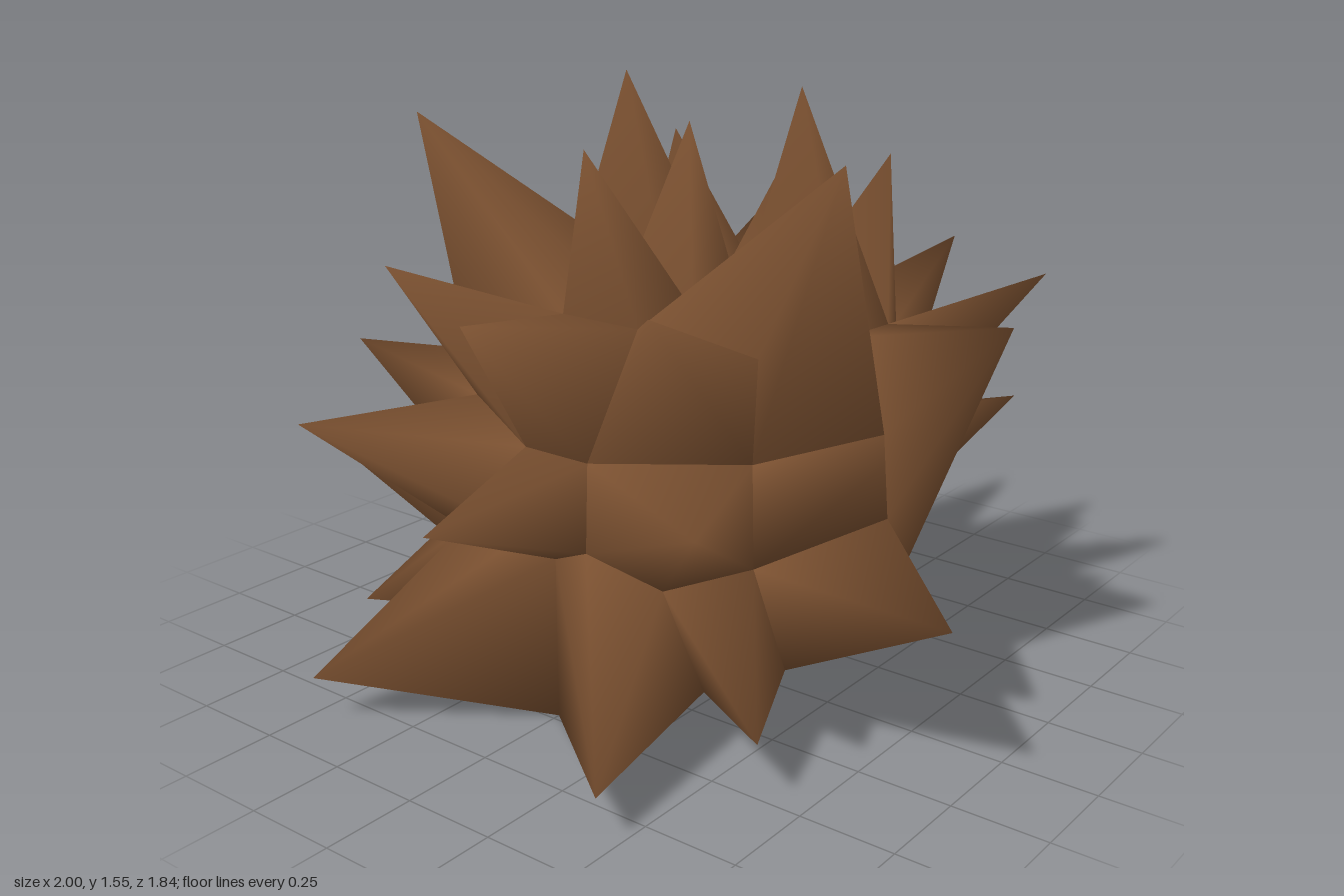
import * as THREE from 'three';

const brown = new THREE.MeshStandardMaterial({ color: 0x7a5030, side: THREE.DoubleSide });
brown.name = 'brown hair';

// Valleys between the locks, on the +x half; a leading '-' on a key mirrors the point
const valleys = {
  // centre line at the fringe
  c0: [0, 0, 0.48], c1: [0, 0.43, 0.48],
  // inner column, front over the crown to the nape
  a1: [0.1, 0.47, 0.48], a2: [0.1, 0.7, 0.47], a3: [0.12, 1, 0.3],
  a4: [0.12, 1, 0.08], a5: [0.12, 1, -0.12], a6: [0.12, 0.97, -0.37],
  a7: [0.11, 0.9, -0.56], a8: [0.1, 0.65, -0.69], a9: [0.1, 0.47, -0.66],
  // outer column, front over the crown to the nape
  b0: [0.4, 0.16, 0.4], b1: [0.33, 0.43, 0.47], b2: [0.45, 0.72, 0.28],
  b3: [0.42, 0.96, 0.22], b4: [0.46, 0.95, -0.1], b5: [0.42, 0.92, -0.37],
  b6: [0.35, 0.88, -0.53], b7: [0.34, 0.62, -0.6], b8: [0.34, 0.53, -0.55],
  // sides
  d0: [0.5, 0.17, 0.2], d1: [0.45, 0.45, 0.27], d2: [0.61, 0.51, -0.08],
  d3: [0.58, 0.72, -0.1], d4: [0.58, 0.2, -0.1],
  e1: [0.55, 0.33, -0.25], e2: [0.5, 0.45, -0.4], e3: [0.51, 0.69, -0.41],
};

function valley(key, mirror = 1) {
  const flip = key.startsWith('-') ? -1 : 1;
  const [x, y, z] = valleys[key.replace('-', '')];
  return new THREE.Vector3(x * flip * mirror, y, z);
}

function makeMesh(name, points, index) {
  const geo = new THREE.BufferGeometry().setFromPoints(points);
  geo.setIndex(index);
  geo.computeVertexNormals();
  const mesh = new THREE.Mesh(geo, brown);
  mesh.name = name;
  return mesh;
}

// Pyramid-shaped lock rising from a loop of valleys to its tip
function lock(name, tip, keys, mirror = 1) {
  const top = new THREE.Vector3(tip[0] * mirror, tip[1], tip[2]);
  const loop = keys.split(' ').map((k) => valley(k, mirror));
  const n = loop.length;
  const centre = new THREE.Vector3();
  const facing = new THREE.Vector3();
  loop.forEach((p, i) => {
    centre.addScaledVector(p, 1 / n);
    facing.add(p.clone().cross(loop[(i + 1) % n]));
  });
  if (facing.dot(top.clone().sub(centre)) < 0) loop.reverse();
  const index = [];
  for (let i = 0; i < n; i++) index.push(0, 1 + i, 1 + (i + 1) % n);
  return makeMesh(name, [top, ...loop], index);
}

// Hollow lining: loops from the rim over a narrow lip up to the crown
function lining() {
  const half = ['b0', 'd0', 'd4', 'e1', 'e2', 'b8', 'a9'];
  const keys = ['c0', ...half, ...half.map((k) => '-' + k).reverse()];
  const rim = keys.map((k) => valley(k));
  const n = rim.length;
  const rows = 9;
  const points = [];
  const index = [];
  for (let r = 0; r < rows; r++) {
    const t = Math.max(0, r - 1) / (rows - 2) * Math.PI / 2;
    const spread = (r === 0 ? 1 : 0.92) * Math.pow(Math.max(0, Math.cos(t)), 0.8);
    const rise = Math.sin(t);
    for (let i = 0; i < n; i++) {
      const p = rim[i];
      points.push(new THREE.Vector3(
        p.x * spread, p.y + (0.9 - p.y) * rise, -0.1 + (p.z + 0.1) * spread));
      if (r < rows - 1) {
        const a = r * n + i;
        const b = r * n + (i + 1) % n;
        index.push(a, a + n, b, b, a + n, b + n);
      }
    }
  }
  return makeMesh('hairLining', points, index);
}

export function createModel() {
  const group = new THREE.Group();
  group.name = 'spikyHair';
  group.add(lining());

  // Centre row, front to back
  const centreLocks = [
    ['foreheadLock', [0, 0.63, 0.92], 'a1 a2 -a2 -a1 c1'],
    ['upperFrontLock', [0, 1.09, 0.78], 'a2 a3 -a3 -a2'],
    ['frontCrownLock', [0, 1.43, 0.35], 'a3 a4 -a4 -a3'],
    ['middleCrownLock', [0, 1.45, -0.06], 'a4 a5 -a5 -a4'],
    ['crownPatch', [0, 1.03, -0.25], 'a5 a6 -a6 -a5'],
    ['backCrownLock', [0, 1.32, -0.52], 'a6 a7 -a7 -a6'],
    ['backLock', [0, 1.03, -0.92], 'a7 a8 a9 -a9 -a8 -a7'],
  ];
  for (const [name, tip, keys] of centreLocks) group.add(lock(name, tip, keys));

  // Mirrored pairs: crown, fringe, sides, back
  const pairedLocks = [
    ['CrownSideLock', [0.665, 1.45, 0.25], 'a3 a4 a5 b4 d3 b2 b3'],
    ['CrownTopLock', [0.28, 1.55, -0.15], 'a5 b4 b5 a6'],
    ['CrownRearLock', [0.355, 1.35, -0.46], 'a6 b5 b6 a7'],
    ['BrowLock', [0.41, 1.14, 0.62], 'a2 a3 b3 b2'],
    ['TempleLock', [0.63, 0.72, 0.74], 'a1 a2 b2 d1 b1'],
    ['FringeLock', [0.465, 0.12, 0.88], 'c0 c1 a1 b1 b0'],
    ['CheekLock', [0.65, 0.16, 0.53], 'b1 d1 d0 b0'],
    ['LowerSideLock', [1, 0.45, 0.285], 'd1 d2 d4 d0'],
    ['MiddleSideLock', [0.84, 0.82, 0.335], 'b2 d3 d2 d1'],
    ['UpperSideLock', [0.83, 1, -0.27], 'd3 b4 b5 e3 e2 e1 d4 d2'],
    ['LowerRearLock', [0.685, 0.72, -0.59], 'e3 b7 b8 e2'],
    ['UpperRearLock', [0.675, 1.02, -0.755], 'e3 b5 b6 b7'],
    ['NapeLock', [0.335, 1.06, -0.865], 'a7 b6 b7 b8 a9 a8'],
  ];
  for (const [name, tip, keys] of pairedLocks) {
    group.add(lock('left' + name, tip, keys, 1), lock('right' + name, tip, keys, -1));
  }
  return group;
}
